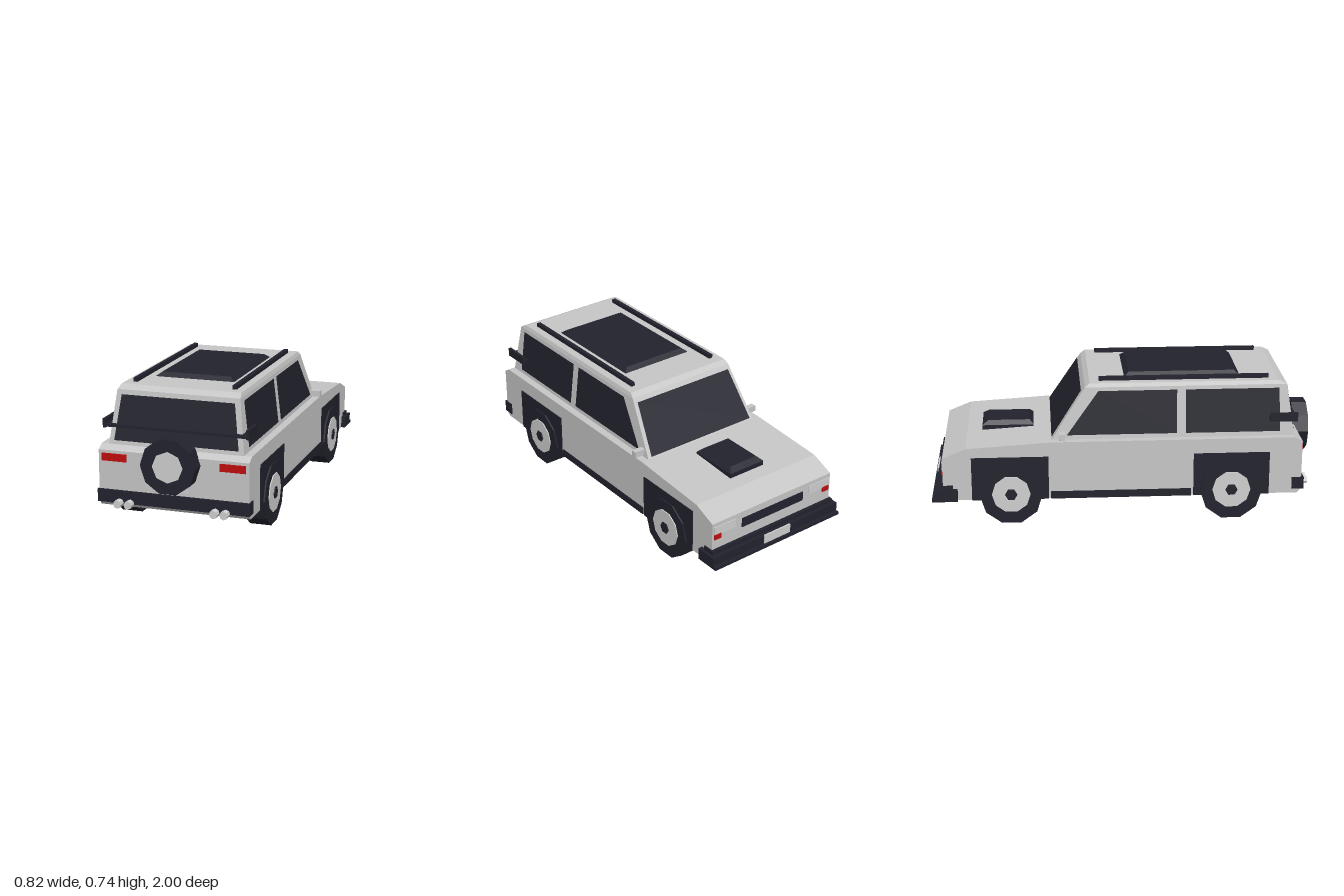
import * as THREE from 'three';

const mat = (name, color) => {
  const m = new THREE.MeshStandardMaterial({ color, flatShading: true });
  m.name = name;
  return m;
};

export function createModel() {
  const group = new THREE.Group();
  const paint = mat('silver paint', 0xc6c6c6);
  const dark = mat('dark trim', 0x22222e);
  const glass = mat('tinted glass', 0x22222d);
  glass.side = THREE.DoubleSide;
  const metal = mat('light metal', 0xcfcfcf);
  const red = mat('red lens', 0xc00c0c);

  const add = (name, geo, m) => {
    const mesh = new THREE.Mesh(geo, m);
    mesh.name = name;
    group.add(mesh);
    return mesh;
  };
  // box given by its limits on each axis
  const box = (name, m, x0, x1, y0, y1, z0, z1) =>
    add(name, new THREE.BoxGeometry(x1 - x0, y1 - y0, z1 - z0)
      .translate((x0 + x1) / 2, (y0 + y1) / 2, (z0 + z1) / 2), m);
  // the same box on both sides
  const boxPair = (name, m, x0, x1, ...rest) => {
    box('left' + name, m, x0, x1, ...rest);
    box('right' + name, m, -x1, -x0, ...rest);
  };
  // convex flat polygon from 3D points
  const panel = (name, m, pts) => {
    const v = [];
    for (let i = 1; i < pts.length - 1; i++) v.push(...pts[0], ...pts[i], ...pts[i + 1]);
    const g = new THREE.BufferGeometry();
    g.setAttribute('position', new THREE.Float32BufferAttribute(v, 3));
    g.computeVertexNormals();
    return add(name, g, m);
  };
  // stacked rectangular sections [y, halfWidth, zBack, zFront], closed on top and bottom
  const loft = (name, m, sections) => {
    const rings = sections.map(([y, w, z0, z1]) => [[w, y, z0], [-w, y, z0], [-w, y, z1], [w, y, z1]]);
    const v = [];
    const quad = (a, b, c, d) => v.push(...a, ...b, ...c, ...a, ...c, ...d);
    for (let r = 0; r < rings.length - 1; r++) {
      for (let i = 0; i < 4; i++) {
        const j = (i + 1) % 4;
        quad(rings[r][i], rings[r][j], rings[r + 1][j], rings[r + 1][i]);
      }
    }
    const t = rings[rings.length - 1], b = rings[0];
    quad(t[0], t[1], t[2], t[3]);
    quad(b[3], b[2], b[1], b[0]);
    const g = new THREE.BufferGeometry();
    g.setAttribute('position', new THREE.Float32BufferAttribute(v, 3));
    g.computeVertexNormals();
    return add(name, g, m);
  };
  // side profile [z, y] extruded across the width
  const slab = (name, m, profile, halfWidth) => {
    const s = new THREE.Shape(profile.map(p => new THREE.Vector2(...p)));
    const g = new THREE.ExtrudeGeometry(s, { depth: halfWidth * 2, bevelEnabled: false });
    return add(name, g.translate(0, 0, -halfWidth).rotateY(-Math.PI / 2), m);
  };

  // lower body
  slab('body', paint, [[0.9, 0.13], [0.92, 0.153], [0.92, 0.415], [0.88, 0.437], [-0.38, 0.437],
    [-0.82, 0.41], [-0.942, 0.36], [-0.942, 0.13]], 0.387);

  // cabin with bevelled roof
  loft('cabin', paint, [[0.43, 0.348, -0.384, 0.882], [0.705, 0.315, -0.205, 0.84], [0.725, 0.308, -0.18, 0.8]]);

  // windows lie just outside the cabin planes
  const sideX = y => 0.348 - (y - 0.43) * 0.12 + 0.004;
  for (const [side, s] of [['left', 1], ['right', -1]]) {
    const win = (name, pts) => panel(side + name, glass, pts.map(([z, y]) => [s * sideX(y), y, z]));
    win('RearSideWindow', [[0.805, 0.46], [0.315, 0.46], [0.315, 0.687], [0.8, 0.687]]);
    win('FrontSideWindow', [[0.27, 0.46], [-0.3, 0.46], [-0.135, 0.687], [0.27, 0.687]]);
  }
  const rearZ = y => 0.882 - (y - 0.43) * 0.153 + 0.004;
  const frontZ = y => -0.384 + (y - 0.43) * 0.651 - 0.006;
  const endWindow = (name, zAt, y0, w0, y1, w1) => panel(name, glass,
    [[-w0, y0, zAt(y0)], [w0, y0, zAt(y0)], [w1, y1, zAt(y1)], [-w1, y1, zAt(y1)]]);
  endWindow('rearWindow', rearZ, 0.457, 0.32, 0.682, 0.29);
  endWindow('windscreen', frontZ, 0.447, 0.327, 0.685, 0.298);

  // roof panel, roof rails and bonnet scoop
  loft('roofPanel', dark, [[0.722, 0.21, 0, 0.61], [0.745, 0.18, 0.03, 0.58]]);
  boxPair('RoofRail', dark, 0.246, 0.267, 0.722, 0.745, -0.13, 0.75);
  loft('bonnetScoop', dark, [[0.41, 0.108, -0.74, -0.47], [0.44, 0.108, -0.74, -0.47], [0.461, 0.085, -0.71, -0.49]]);

  // wing mirrors
  boxPair('Mirror', paint, 0.335, 0.4, 0.448, 0.48, -0.34, -0.31);

  // rear wind deflector
  box('deflectorBar', dark, -0.36, 0.36, 0.525, 0.538, 0.865, 0.89);
  boxPair('DeflectorEnd', dark, 0.359, 0.374, 0.52, 0.565, 0.75, 0.893);
  boxPair('DeflectorMount', dark, 0.33, 0.36, 0.525, 0.538, 0.75, 0.893);

  // wheel surrounds and sills
  for (const [end, z0, z1] of [['Rear', 0.354, 0.75], ['Front', -0.794, -0.397]])
    boxPair(end + 'WheelSurround', dark, 0.38, 0.392, 0.129, 0.36, z0, z1);
  boxPair('Sill', dark, 0.38, 0.392, 0.129, 0.168, -0.386, 0.343);

  // wheels: tyre, rim through both faces, hub cap
  const axle = (name, m, r, sides, x0, x1, y, z) =>
    add(name, new THREE.CylinderGeometry(r, r, Math.abs(x1 - x0), sides)
      .rotateZ(Math.PI / 2).translate((x0 + x1) / 2, y, z), m);
  for (const [end, z] of [['Rear', 0.552], ['Front', -0.592]]) {
    for (const [side, s] of [['left', 1], ['right', -1]]) {
      axle(side + end + 'Tyre', dark, 0.163, 10, s * 0.29, s * 0.4, 0.158, z);
      axle(side + end + 'Rim', metal, 0.1, 10, s * 0.286, s * 0.405, 0.162, z);
      axle(side + end + 'HubCap', dark, 0.032, 6, s * 0.39, s * 0.41, 0.162, z);
    }
  }

  // spare wheel and exhaust tips, facing the rear
  const round = (name, m, r, sides, x, y, z0, z1) =>
    add(name, new THREE.CylinderGeometry(r, r, z1 - z0, sides, 1, false, Math.PI / 2)
      .rotateX(Math.PI / 2).translate(x, y, (z0 + z1) / 2), m);
  round('spareTyre', dark, 0.141, 10, 0, 0.379, 0.915, 0.996);
  round('spareRim', metal, 0.078, 8, 0, 0.379, 0.92, 1);
  for (const x of [-0.275, -0.22, 0.22, 0.273])
    round('exhaustTip', metal, 0.021, 8, x, 0.157, 0.86, 0.97);

  // rear bumper, lamps and plate
  box('rearBumper', dark, -0.392, 0.392, 0.153, 0.217, 0.87, 0.933);
  boxPair('TailLamp', red, 0.24, 0.37, 0.362, 0.4, 0.917, 0.926);
  box('rearPlate', metal, -0.083, 0.083, 0.236, 0.3, 0.917, 0.924);

  // front bumper with wrapped ends and lower lip
  box('frontBumper', dark, -0.41, 0.41, 0.13, 0.192, -0.982, -0.93);
  boxPair('FrontBumperEnd', dark, 0.38, 0.41, 0.13, 0.192, -0.94, -0.867);
  box('frontBumperTop', dark, -0.395, 0.395, 0.19, 0.212, -0.96, -0.89);
  box('frontLip', dark, -0.41, 0.41, 0.13, 0.146, -1, -0.97);
  box('frontPlate', metal, -0.085, 0.085, 0.148, 0.196, -0.988, -0.98);

  // grille, headlamps and indicators
  box('grille', dark, -0.2, 0.2, 0.272, 0.322, -0.947, -0.939);
  boxPair('Headlamp', metal, 0.24, 0.375, 0.29, 0.338, -0.946, -0.939);
  boxPair('Indicator', red, 0.335, 0.375, 0.268, 0.296, -0.949, -0.941);

  return group;
}
